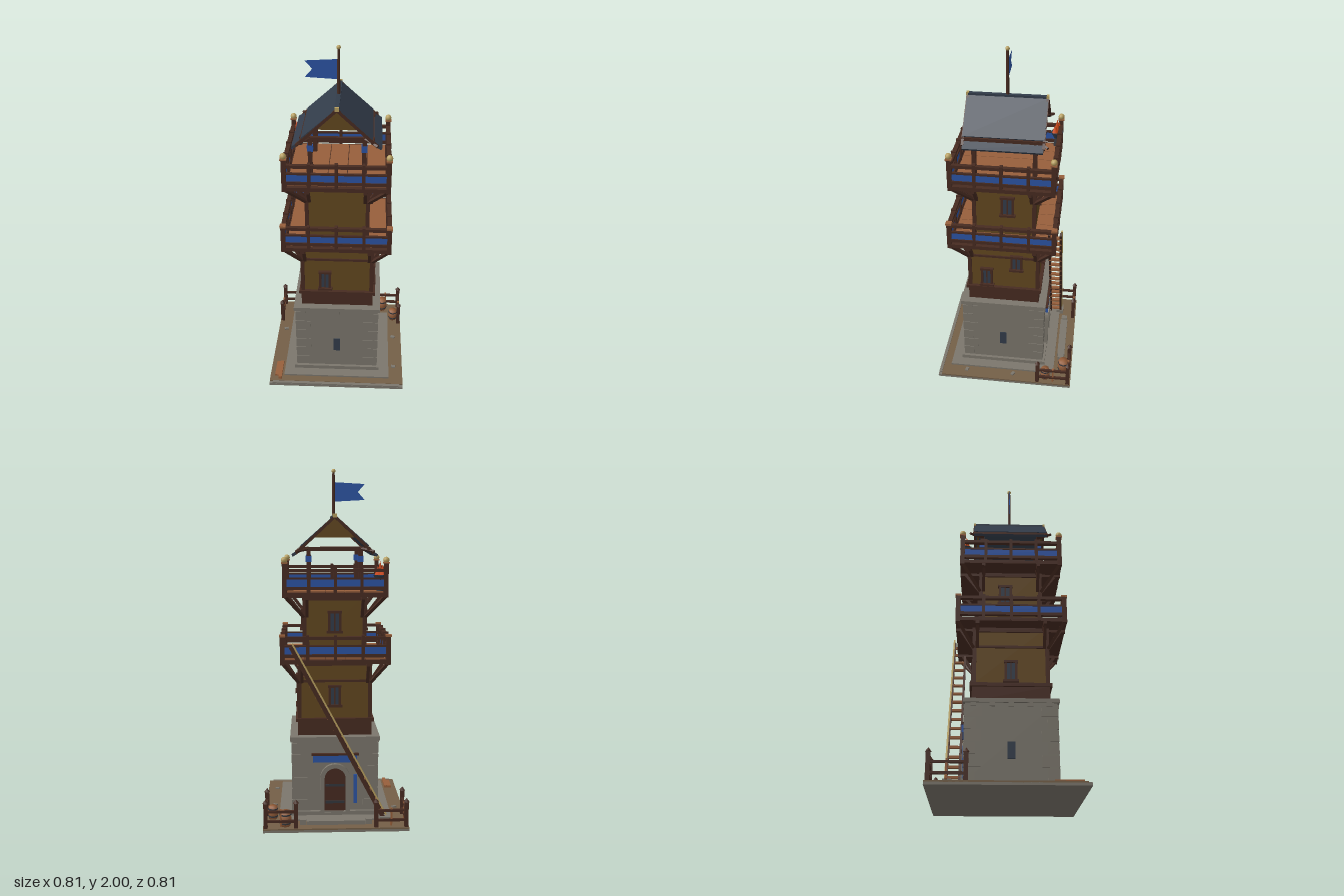
import * as THREE from 'three';

const mat = (name, color) => Object.assign(new THREE.MeshStandardMaterial({ color }), { name });
const stone = mat('stone', 0x7b766c), wood = mat('dark timber', 0x472b21), plaster = mat('plaster', 0x62471f);
const plank = mat('planks', 0x975f3b), slate = mat('slate', 0x323c4a), blue = mat('blue cloth', 0x2c54a4);
const gold = mat('gold', 0xb8a060), earth = mat('earth', 0x745f47), fire = mat('fire', 0xd24a16), iron = mat('iron', 0x33363c);
blue.side = THREE.DoubleSide;

function add(parent, name, geo, material, x = 0, y = 0, z = 0) {
  const m = new THREE.Mesh(geo, material);
  m.name = name;
  m.position.set(x, y, z);
  parent.add(m);
  return m;
}
// box centred on x and z, between heights y0 and y1
const box = (p, name, m, w, d, y0, y1, x = 0, z = 0) =>
  add(p, name, new THREE.BoxGeometry(w, y1 - y0, d), m, x, (y0 + y1) / 2, z);
// square bar from a to b
function bar(p, name, m, a, b, t = 0.016, t2 = t) {
  const A = new THREE.Vector3(...a), B = new THREE.Vector3(...b), dir = B.clone().sub(A);
  const mesh = add(p, name, new THREE.BoxGeometry(t, dir.length(), t2), m);
  mesh.position.copy(A).add(B).multiplyScalar(0.5);
  mesh.quaternion.setFromUnitVectors(new THREE.Vector3(0, 1, 0), dir.normalize());
  return mesh;
}
const group = (p, name) => {
  const g = new THREE.Group();
  g.name = name;
  p.add(g);
  return g;
};
// repeat a build on the four sides: 0 front, 1 left (+x), 2 back, 3 right (-x)
function sides(p, name, build) {
  for (let i = 0; i < 4; i++) {
    const g = group(p, name);
    g.rotation.y = i * Math.PI / 2;
    build(g, i);
  }
}
const corners = (fn) => { for (const x of [-1, 1]) for (const z of [-1, 1]) fn(x, z); };

// framed window with a mullion on the +z side of a group
function windowAt(g, x, y, z, w = 0.06, h = 0.1) {
  box(g, 'windowPane', slate, w, 0.008, y - h / 2, y + h / 2, x, z + 0.004);
  for (const s of [-1, 1]) box(g, 'windowJamb', wood, 0.013, 0.016, y - h / 2, y + h / 2, x + s * w / 2, z + 0.008);
  box(g, 'windowHead', wood, w + 0.02, 0.02, y + h / 2, y + h / 2 + 0.013, x, z + 0.009);
  box(g, 'windowSill', wood, w + 0.028, 0.024, y - h / 2 - 0.013, y - h / 2, x, z + 0.011);
  box(g, 'windowMullion', wood, 0.007, 0.012, y - h / 2, y + h / 2, x, z + 0.006);
}

// balcony with floor, brackets, cloth band and railing
function balcony(p, name, half, wall, floor, post, cap) {
  const b = group(p, name);
  box(b, 'floorFrame', wood, half * 2, half * 2, floor - 0.025, floor - 0.003);
  const inner = half * 2 - 0.05;
  for (let i = 0; i < 5; i++)
    box(b, 'floorPlank', plank, inner / 5 - 0.004, inner, floor - 0.005, floor + 0.006, (i - 2) * inner / 5);
  sides(b, 'balconySide', (g) => {
    const e = half - 0.012;
    box(g, 'lowerRail', wood, half * 2, 0.02, floor + 0.012, floor + 0.03, 0, e);
    box(g, 'clothBand', blue, half * 2 - 0.03, 0.006, floor + 0.03, floor + 0.07, 0, e);
    box(g, 'middleRail', wood, half * 2, 0.014, floor + 0.07, floor + 0.08, 0, e);
    box(g, 'topRail', wood, half * 2, 0.024, floor + 0.11, floor + 0.127, 0, e);
    for (const x of [-0.5, 0, 0.5]) box(g, 'railPost', wood, 0.017, 0.028, floor - 0.02, floor + 0.135, x * half, e);
    for (const s of [-1, 1]) {
      bar(g, 'bracket', wood, [s * (wall - 0.02), floor - 0.145, wall], [s * (wall - 0.02), floor - 0.02, half - 0.02], 0.017);
      box(g, 'joist', wood, 0.02, half - wall + 0.02, floor - 0.04, floor - 0.022, s * (wall - 0.02), (half + wall) / 2 - 0.01);
    }
  });
  corners((x, z) => {
    const X = x * (half - 0.012), Z = z * (half - 0.012);
    box(b, 'cornerPost', wood, 0.025, 0.025, floor - 0.03, floor + post, X, Z);
    bar(b, 'cornerBracket', wood, [x * wall, floor - 0.145, z * wall], [X, floor - 0.02, Z], 0.017);
    if (cap === gold) {
      box(b, 'postPlate', plank, 0.034, 0.034, floor + post, floor + post + 0.008, X, Z);
      add(b, 'postBall', new THREE.IcosahedronGeometry(0.018, 1), gold, X, floor + post + 0.02, Z);
    } else box(b, 'postCap', cap, 0.033, 0.033, floor + post, floor + post + 0.012, X, Z);
  });
}

function buildStoneBase(t) {
  box(t, 'footing', stone, 0.64, 0.64, 0.015, 0.032);
  box(t, 'plinth', stone, 0.52, 0.52, 0.03, 0.055);
  box(t, 'stoneWall', stone, 0.486, 0.486, 0.05, 0.475);
  box(t, 'stoneCap', stone, 0.51, 0.51, 0.47, 0.492);
  corners((x, z) => {
    for (let i = 0; i < 6; i++)
      box(t, 'cornerStone', stone, i % 2 ? 0.06 : 0.09, i % 2 ? 0.09 : 0.06, 0.06 + i * 0.067, 0.12 + i * 0.067,
        x * (0.247 - (i % 2 ? 0.03 : 0.045)), z * (0.247 - (i % 2 ? 0.045 : 0.03)));
  });
  sides(t, 'stoneSide', (g, i) => {
    for (let k = -2; k <= 2; k++) box(g, 'corbel', stone, 0.03, 0.012, 0.45, 0.472, k * 0.1, 0.247);
    if (i !== 2) box(g, 'arrowSlit', slate, 0.04, 0.008, 0.17, 0.26, 0, 0.243);
  });
}

function buildDoor(t) {
  const d = group(t, 'doorway');
  d.rotation.y = Math.PI;
  const arch = (r, h) => {
    const s = new THREE.Shape();
    s.moveTo(-r, 0).lineTo(r, 0).lineTo(r, h).absarc(0, h, r, 0, Math.PI).lineTo(-r, 0);
    return s;
  };
  const frame = arch(0.085, 0.2);
  frame.holes.push(arch(0.06, 0.2));
  const opt = { depth: 0.03, bevelEnabled: false, curveSegments: 8 };
  add(d, 'doorFrame', new THREE.ExtrudeGeometry(frame, opt), stone, 0, 0.05, 0.235);
  add(d, 'door', new THREE.ExtrudeGeometry(arch(0.06, 0.2), { ...opt, depth: 0.01 }), wood, 0, 0.05, 0.24);
  for (const y of [0.1, 0.2]) box(d, 'doorStrap', iron, 0.11, 0.006, y, y + 0.014, 0, 0.252);
  box(d, 'doorBanner', blue, 0.25, 0.015, 0.345, 0.385, 0, 0.255);
  box(d, 'bannerPole', wood, 0.27, 0.018, 0.385, 0.396, 0, 0.255);
  box(d, 'doorDrape', blue, 0.02, 0.008, 0.1, 0.27, 0.115, 0.25);
  box(d, 'doorStep', stone, 0.33, 0.045, 0.02, 0.045, 0, 0.357);
  for (const s of [-1, 1]) box(d, 'stepBlock', stone, 0.034, 0.035, 0.02, 0.05, s * 0.185, 0.357);
}

function buildStoreys(t) {
  box(t, 'timberBand', wood, 0.42, 0.42, 0.49, 0.575);
  box(t, 'bandTrim', wood, 0.445, 0.445, 0.572, 0.592);
  box(t, 'lowerStorey', plaster, 0.405, 0.405, 0.59, 0.93);
  box(t, 'upperStorey', plaster, 0.35, 0.35, 0.93, 1.3);
  corners((x, z) => {
    box(t, 'lowerCornerPost', wood, 0.022, 0.022, 0.59, 0.92, x * 0.2, z * 0.2);
    box(t, 'upperCornerPost', wood, 0.022, 0.022, 0.94, 1.29, x * 0.17, z * 0.17);
  });
  const windows = [[[-0.07, 0.665, 0]], [[-0.1, 0.66, 0], [0.075, 0.77, 0], [0.02, 1.14, 1]],
    [[0, 0.72, 0], [0, 1.14, 1]], [[0, 0.66, 0], [-0.03, 1.14, 1]]];
  sides(t, 'storeySide', (g, i) => {
    box(g, 'wallBeam', wood, 0.41, 0.016, 0.8, 0.813, 0, 0.203);
    box(g, 'wallPlate', wood, 0.42, 0.02, 0.895, 0.92, 0, 0.203);
    box(g, 'upperWallPlate', wood, 0.36, 0.016, 1.262, 1.285, 0, 0.176);
    for (const [x, y, up] of windows[i]) windowAt(g, x, y, up ? 0.175 : 0.2025, up ? 0.062 : 0.056, i === 1 && y === 0.77 ? 0.08 : 0.1);
  });
}

function buildRoof(t) {
  const r = group(t, 'roof');
  corners((x, z) => {
    box(r, 'roofPost', wood, 0.024, 0.024, 1.3, 1.55, x * 0.145, z * 0.167);
    box(r, 'postCloth', blue, 0.032, 0.032, 1.475, 1.51, x * 0.145, z * 0.167);
    bar(r, 'cornerStrut', wood, [x * 0.145, 1.55, z * 0.167], [x * 0.215, 1.535, z * 0.238], 0.012);
    bar(r, 'bargeBoard', wood, [0, 1.725, z * 0.215], [x * 0.215, 1.525, z * 0.215], 0.016, 0.014);
  });
  for (const z of [-1, 1]) {
    box(r, 'tieBeam', wood, 0.4, 0.02, 1.537, 1.556, 0, z * 0.167);
    const gable = new THREE.Shape([new THREE.Vector2(-0.115, 1.61), new THREE.Vector2(0.115, 1.61), new THREE.Vector2(0, 1.715)]);
    add(r, 'gable', new THREE.ExtrudeGeometry(gable, { depth: 0.012, bevelEnabled: false }), plaster, 0, 0, z * 0.195 - 0.006);
    box(r, 'ridgeEnd', gold, 0.024, 0.014, 1.718, 1.74, 0, z * 0.216);
  }
  for (const x of [-1, 1]) {
    bar(r, 'roofSlope', slate, [x * 0.004, 1.722, 0], [x * 0.185, 1.562, 0], 0.014, 0.436);
    bar(r, 'eave', slate, [x * 0.195, 1.538, 0], [x * 0.236, 1.512, 0], 0.014, 0.43);
    box(r, 'purlin', wood, 0.016, 0.44, 1.542, 1.56, x * 0.187, 0);
  }
  box(r, 'ridgeCap', slate, 0.024, 0.425, 1.715, 1.736);
  // flag and pole
  add(r, 'flagPole', new THREE.CylinderGeometry(0.007, 0.009, 0.27, 8), wood, 0, 1.855, 0);
  add(r, 'poleBall', new THREE.IcosahedronGeometry(0.012, 1), gold, 0, 1.988, 0);
  const flag = new THREE.Shape([[0, 1.815], [0, 1.925], [-0.18, 1.915], [-0.14, 1.87], [-0.18, 1.825]].map((p) => new THREE.Vector2(...p)));
  add(r, 'flag', new THREE.ShapeGeometry(flag), blue);
}

function buildLadder(root) {
  const l = group(root, 'ladder');
  for (const z of [-0.24, -0.305]) bar(l, 'ladderRail', wood, [-0.275, 0.03, z], [0.245, 1.02, z], 0.022, 0.012);
  bar(l, 'handRope', gold, [-0.285, 0.06, -0.31], [0.238, 1.04, -0.31], 0.009);
  for (let i = 0; i < 16; i++) {
    const k = (i + 0.6) / 16.2;
    box(l, 'rung', plank, 0.02, 0.075, 0.025 + k, 0.037 + k, -0.275 + 0.52 * k * 1.01, -0.272).position.y -= 0.01 * k;
  }
  box(l, 'ladderFoot', stone, 0.062, 0.045, 0.02, 0.05, -0.28, -0.3);
}

function buildYard(root) {
  box(root, 'baseSlab', stone, 0.81, 0.815, 0, 0.014);
  box(root, 'ground', earth, 0.81, 0.795, 0.013, 0.022, 0, -0.01);
  box(root, 'frontKerb', stone, 0.77, 0.018, 0.013, 0.022, 0, 0.398);
  for (const s of [-1, 1]) {
    const f = group(root, 'fence');
    for (const [x, z] of [[0.39, -0.39], [0.222, -0.39], [0.39, -0.205]]) {
      box(f, 'fencePost', wood, 0.022, 0.022, 0.02, 0.165, s * x, z);
      add(f, 'fenceCap', new THREE.ConeGeometry(0.017, 0.022, 6), wood, s * x, 0.175, z);
    }
    for (const y of [0.06, 0.115]) {
      bar(f, 'fenceRail', wood, [s * 0.39, y, -0.39], [s * 0.222, y, -0.39], 0.013);
      bar(f, 'fenceRail', wood, [s * 0.39, y, -0.39], [s * 0.39, y, -0.205], 0.013);
    }
    box(f, 'fencePicket', plank, 0.01, 0.012, 0.03, 0.13, s * 0.306, -0.39);
    box(f, 'fencePicket', plank, 0.012, 0.01, 0.03, 0.13, s * 0.39, -0.3);
  }
  for (const [x, z, r, h] of [[0.282, -0.357, 0.034, 0.085], [0.355, -0.25, 0.029, 0.075]]) {
    const pts = [[0, 0], [r * 0.8, 0], [r, h / 2], [r * 0.85, h], [0, h]].map((p) => new THREE.Vector2(...p));
    add(root, 'barrel', new THREE.LatheGeometry(pts, 8), plank, x, 0.022, z);
    for (const k of [0.22, 0.78])
      add(root, 'barrelHoop', new THREE.CylinderGeometry(r * 0.98, r * 0.98, 0.008, 8), iron, x, 0.022 + h * k, z);
  }
  box(root, 'plankStack', plank, 0.042, 0.12, 0.022, 0.034, -0.355, 0.29);
  box(root, 'plankStack', plank, 0.02, 0.145, 0.022, 0.04, -0.343, 0.303);
  for (const [x, z, a] of [[-0.355, -0.105, 0.3], [0.352, -0.05, -0.5], [0.35, 0.237, -0.2]])
    box(root, 'looseStone', stone, 0.026, 0.018, 0.02, 0.03, x, z).rotation.y = a;
}

export function createModel() {
  const root = new THREE.Group();
  root.name = 'watchtower';
  buildYard(root);
  const tower = group(root, 'tower');
  tower.position.z = 0.022;
  buildStoneBase(tower);
  buildDoor(tower);
  buildStoreys(tower);
  balcony(tower, 'lowerBalcony', 0.305, 0.205, 0.945, 0.125, plank);
  balcony(tower, 'upperBalcony', 0.29, 0.175, 1.315, 0.155, gold);
  buildRoof(tower);
  buildLadder(root);
  // brazier on the upper deck
  const b = group(root, 'brazier');
  b.position.set(-0.247, 1.32, -0.235);
  add(b, 'brazierStand', new THREE.CylinderGeometry(0.01, 0.02, 0.06, 8), iron, 0, 0.03, 0);
  add(b, 'brazierBowl', new THREE.CylinderGeometry(0.038, 0.02, 0.035, 8), slate, 0, 0.07, 0);
  for (const [x, z, h] of [[0, 0, 0.08], [-0.012, -0.01, 0.06], [0.012, 0.01, 0.05]])
    add(b, 'flame', new THREE.ConeGeometry(0.02, h, 6), fire, x, 0.085 + h / 2, z);
  return root;
}
